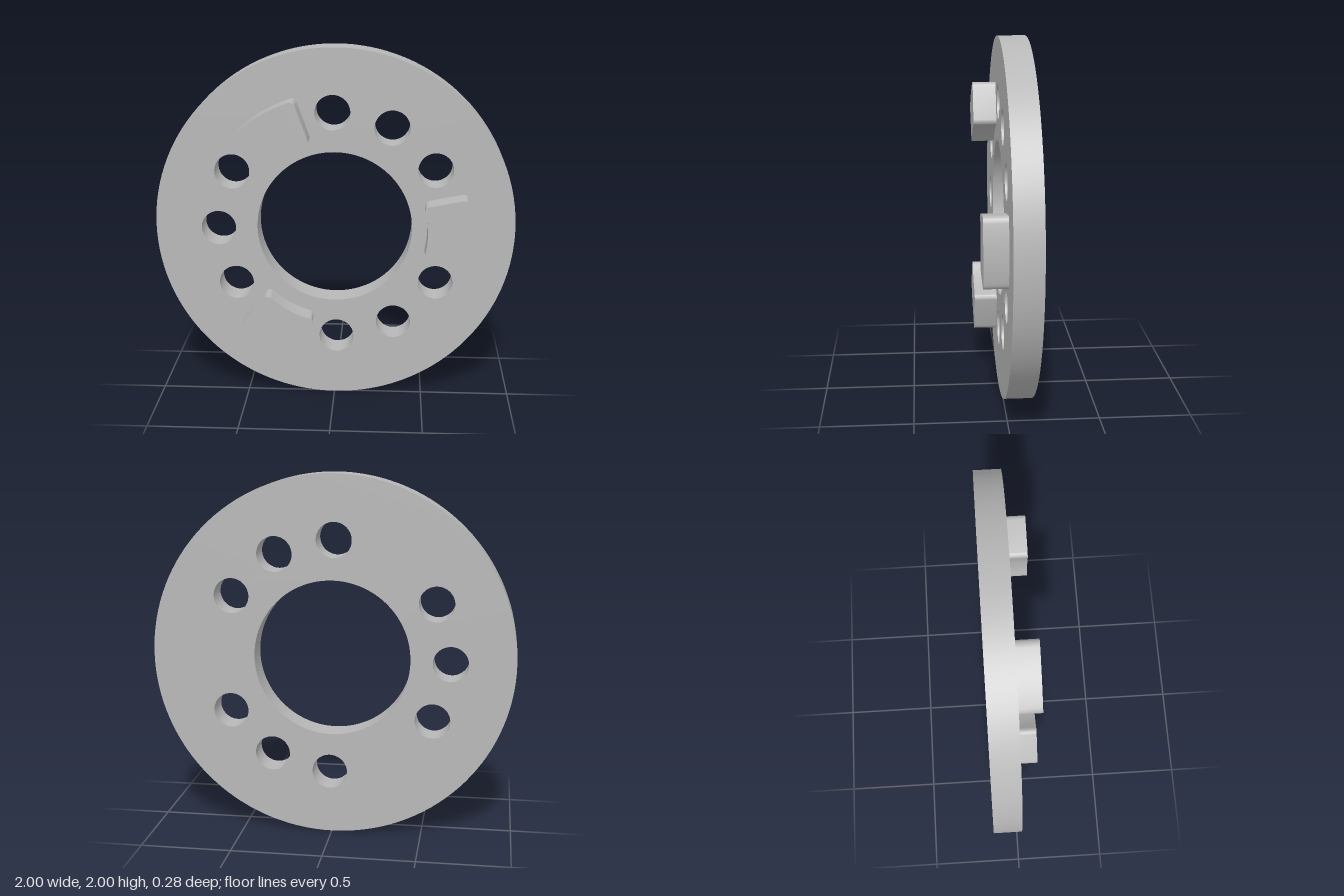
import * as THREE from 'three';
import { toCreasedNormals } from 'three/addons/utils/BufferGeometryUtils.js';

const BACK = -0.14, FACE = 0.012, LUG_TOP = 0.14;
const TILT = THREE.MathUtils.degToRad(1);
const STEP = Math.PI / 6;

function extrude(shape, depth, curveSegments) {
  const geo = new THREE.ExtrudeGeometry(shape, { depth, curveSegments, bevelEnabled: false });
  return toCreasedNormals(geo, 0.5);
}

function circle(path, x, y, r) {
  path.absarc(x, y, r, 0, Math.PI * 2, false);
  return path;
}

// Tapered block with arced inner and outer ends and rounded corners, pointing along +x
function lugShape() {
  const inner = 0.515, outer = 0.762, a = 0.29, b = 0.256;
  const c = 0.035; // corner cut length
  const polar = (r, t) => new THREE.Vector2(r * Math.cos(t), r * Math.sin(t));
  const i0 = polar(inner, -a), o0 = polar(outer, -b), o1 = polar(outer, b), i1 = polar(inner, a);
  const along = (p, q) => p.clone().add(q.clone().sub(p).setLength(c));
  const s = new THREE.Shape();
  const line = (p) => s.lineTo(p.x, p.y);
  const round = (corner, end) => s.quadraticCurveTo(corner.x, corner.y, end.x, end.y);
  const start = along(i0, o0);
  s.moveTo(start.x, start.y);
  line(along(o0, i0));
  round(o0, polar(outer, -b + c / outer));
  s.absarc(0, 0, outer, -b + c / outer, b - c / outer, false);
  round(o1, along(o1, i1));
  line(along(i1, o1));
  round(i1, polar(inner, a - c / inner));
  s.absarc(0, 0, inner, a - c / inner, -a + c / inner, true);
  round(i0, start);
  return s;
}

export function createModel() {
  const model = new THREE.Group();
  model.name = 'lugPlate';
  const grey = new THREE.MeshStandardMaterial({ color: 0xb8b8b8 });
  grey.name = 'plain grey';

  // Ring with a large bore; every fourth position holds a lug, the others a hole
  const ring = circle(new THREE.Shape(), 0, 0, 1);
  ring.holes.push(circle(new THREE.Path(), 0, 0, 0.43));
  const lugGeo = extrude(lugShape(), LUG_TOP - FACE, 12);

  for (let k = 0; k < 12; k++) {
    const angle = TILT + k * STEP;
    if (k % 4 === 0) {
      const lug = new THREE.Mesh(lugGeo, grey);
      lug.name = 'lug' + (k / 4 + 1);
      lug.position.set(0, 1, FACE);
      lug.rotation.z = angle;
      model.add(lug);
    } else {
      ring.holes.push(circle(new THREE.Path(), 0.648 * Math.cos(angle), 0.648 * Math.sin(angle), 0.097));
    }
  }

  const disc = new THREE.Mesh(extrude(ring, FACE - BACK, 64), grey);
  disc.name = 'disc';
  disc.position.set(0, 1, BACK);
  model.add(disc);
  return model;
}
